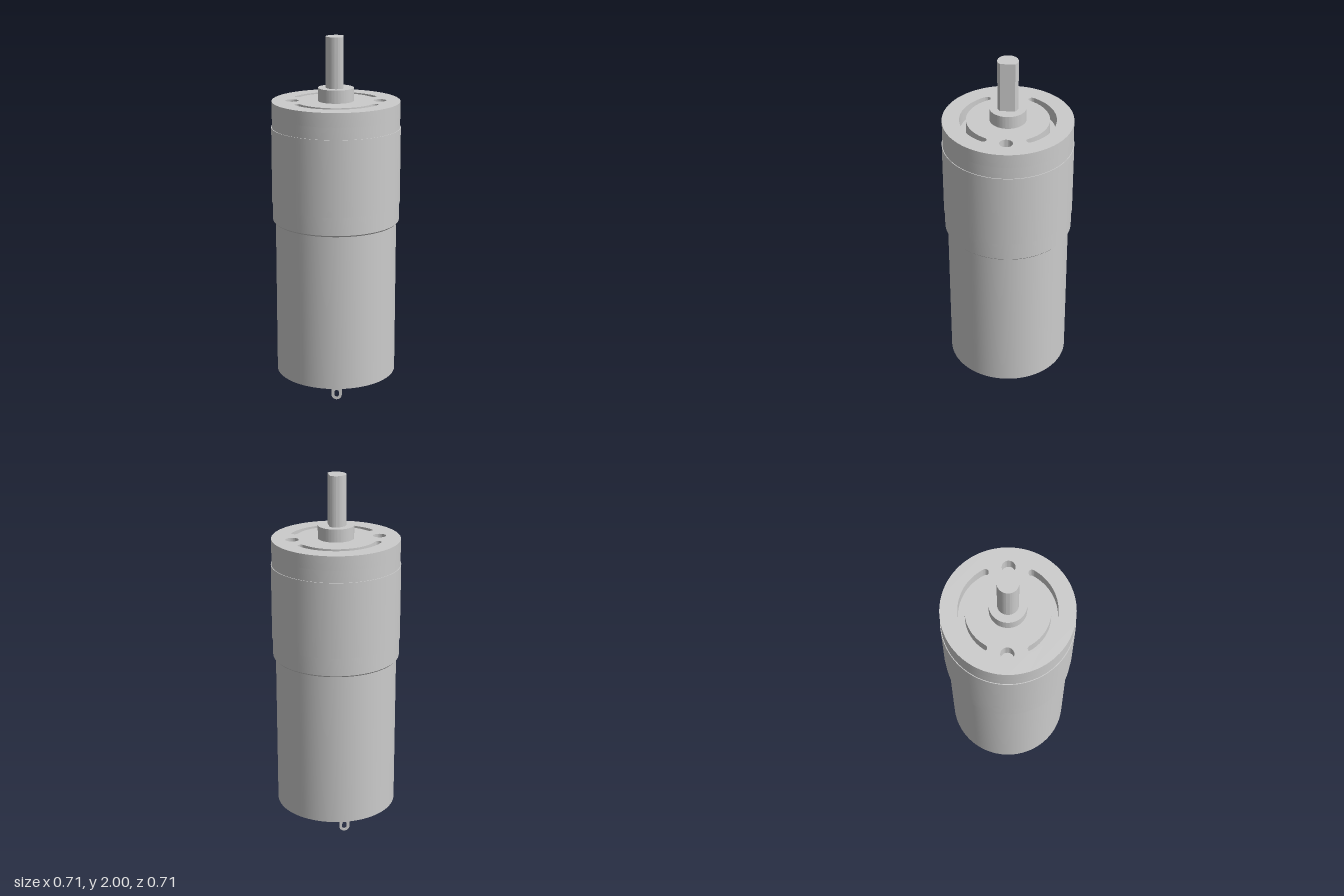
import * as THREE from 'three';
import { toCreasedNormals } from 'three/addons/utils/BufferGeometryUtils.js';

const TAU = Math.PI * 2;

export function createModel() {
  const model = new THREE.Group();
  const metal = new THREE.MeshStandardMaterial({ color: 0xcccccc });

  const add = (name, geometry) => {
    const mesh = new THREE.Mesh(toCreasedNormals(geometry, 0.5), metal);
    mesh.name = name;
    model.add(mesh);
    return mesh;
  };

  // Turned part from [radius, height] points, listed bottom to top
  const turned = (name, points) =>
    add(name, new THREE.LatheGeometry(points.map(([r, y]) => new THREE.Vector2(r, y)), 96));

  // Flat outline in plan, raised from y0 to y1
  const raised = (name, shape, y0, y1) => {
    const geometry = new THREE.ExtrudeGeometry(shape, { depth: y1 - y0, bevelEnabled: false, curveSegments: 48 });
    return add(name, geometry.rotateX(-Math.PI / 2).translate(0, y0, 0));
  };

  const circle = (x, y, r) => new THREE.Path().absarc(x, y, r, 0, TAU, false);

  // Motor can
  turned('motorCan', [[0, 0.085], [0.338, 0.085], [0.338, 0.975], [0, 0.975]]);

  // Gearbox housing with a slightly wider sleeve and a chamfered lower rim
  const plateBottom = 1.57, plateTop = 1.648;
  turned('gearboxHousing', [
    [0, 0.97], [0.346, 0.97], [0.353, 0.978], [0.353, 1.08], [0.357, 1.08],
    [0.357, 1.503], [0.353, 1.503], [0.353, plateBottom], [0, plateBottom],
  ]);

  // Face plate with two round holes and two curved slots
  const plate = new THREE.Shape().absarc(0, 0, 0.353, 0, TAU, false);
  const start = Math.PI / 6, end = Math.PI * 5 / 6;
  const outer = 0.26, inner = 0.224, mid = (outer + inner) / 2, cap = (outer - inner) / 2;
  for (const side of [0, Math.PI]) {
    const a = start + side, b = end + side;
    plate.holes.push(circle(0.241 * Math.cos(side), 0, 0.036));
    plate.holes.push(new THREE.Path()
      .absarc(0, 0, outer, a, b, false)
      .absarc(mid * Math.cos(b), mid * Math.sin(b), cap, b, b + Math.PI, false)
      .absarc(0, 0, inner, b, a, true)
      .absarc(mid * Math.cos(a), mid * Math.sin(a), cap, a + Math.PI, a + TAU, false));
  }
  raised('facePlate', plate, plateBottom, plateTop);

  // Output bearing boss
  turned('outputBoss', [[0, plateTop - 0.01], [0.099, plateTop - 0.01], [0.099, 1.72], [0, 1.72]]);

  // D-shaped output shaft, flat towards +x
  const flat = Math.acos(0.04 / 0.056);
  const shaft = new THREE.Shape().absarc(0, 0, 0.056, flat, TAU - flat, false);
  shaft.closePath();
  raised('outputShaft', shaft, 1.7, 2);

  // Rear bearing and the motor shaft end
  turned('rearBearing', [[0, 0.065], [0.082, 0.065], [0.082, 0.09], [0, 0.09]]);
  turned('rearShaftEnd', [[0, 0.05], [0.029, 0.05], [0.029, 0.07], [0, 0.07]]);

  // Solder terminals: thin tabs with a rounded tip and an oblong eye
  const half = 0.029, thick = 0.006;
  const tab = new THREE.Shape()
    .moveTo(half, 0.095)
    .lineTo(-half, 0.095)
    .lineTo(-half, half)
    .absarc(0, half, half, Math.PI, TAU, false);
  tab.closePath();
  const eye = new THREE.Path()
    .absarc(0, 0.027, 0.013, Math.PI, TAU, false)
    .absarc(0, 0.043, 0.013, 0, Math.PI, false);
  eye.closePath();
  tab.holes.push(eye);
  for (const [name, z] of [['frontTerminal', 0.283], ['backTerminal', -0.283]]) {
    const geometry = new THREE.ExtrudeGeometry(tab, { depth: thick, bevelEnabled: false, curveSegments: 12 });
    add(name, geometry.translate(0, 0, z - thick / 2));
  }

  return model;
}
